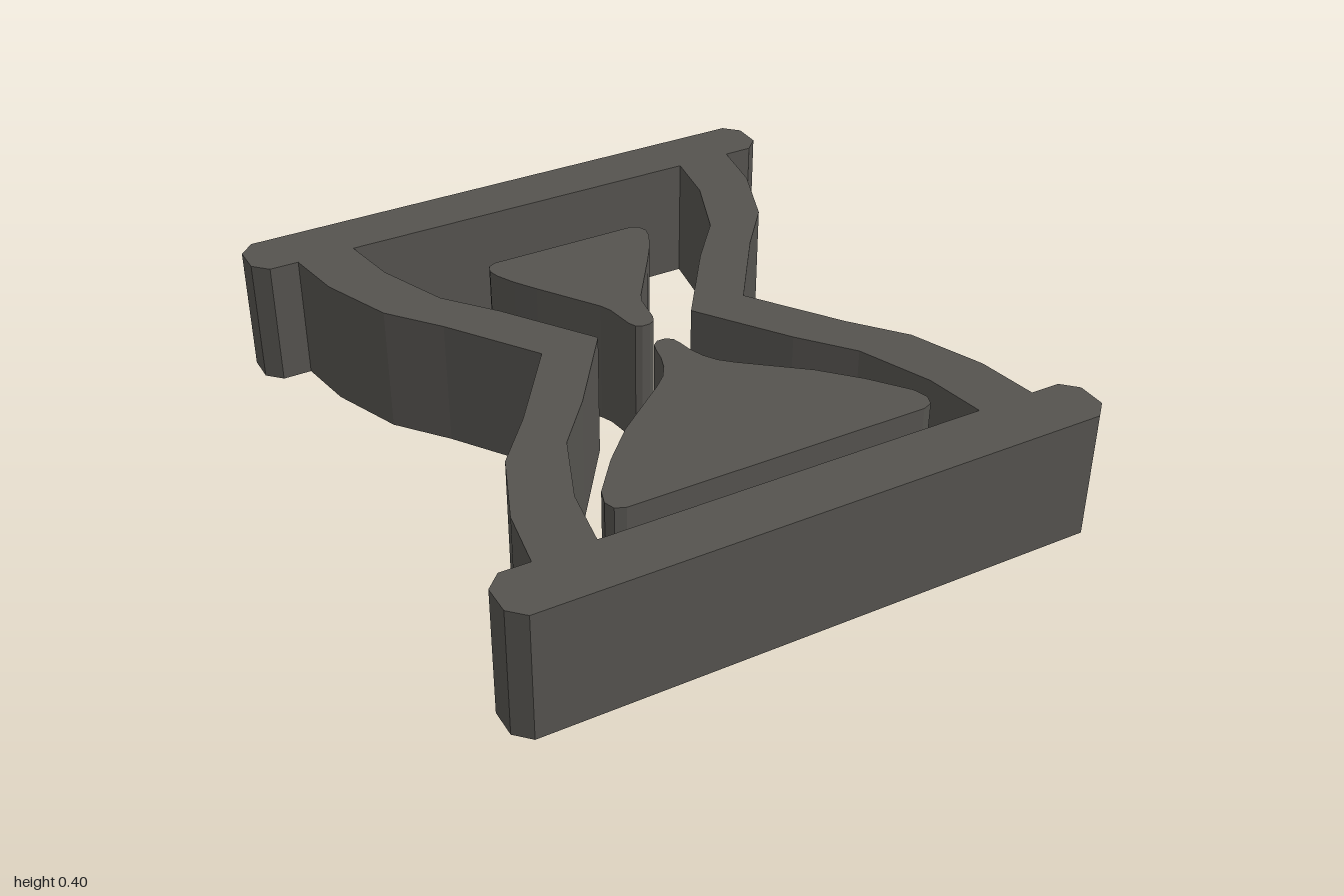
import * as THREE from 'three';

const HEIGHT = 0.4;
const LEG_WIDTH = 0.18;
const material = new THREE.MeshStandardMaterial({ color: 0x55534f, side: THREE.DoubleSide });

// Mirrors a half outline of [x, z] points (x > 0) across x = 0
const mirrorX = (half) => [...half, ...half.slice().reverse().map(([x, z]) => [-x, z])];

// Adds the reflection across z = 0 to a run that goes from the back to the middle
const mirrorZ = (run) => [
  ...run,
  ...run.slice().reverse().filter(([, z]) => z !== 0).map(([x, z]) => [x, -z]),
];

const toPoints = (outline) => outline.map(([x, z]) => new THREE.Vector2(x, -z));

// Extrudes a plan outline upward into a shell with a closed top and an open underside
function shell(name, outline, hole) {
  const shape = new THREE.Shape(toPoints(outline));
  // The hole runs against the outline so that its walls face into the opening
  if (hole) shape.holes.push(new THREE.Path(toPoints(hole).reverse()));
  const solid = new THREE.ExtrudeGeometry(shape, { depth: HEIGHT, bevelEnabled: false });
  solid.rotateX(-Math.PI / 2);

  // The lower lid is the first half of the lid group: leave it out
  const start = solid.groups[0].count / 2;
  const geometry = new THREE.BufferGeometry();
  for (const key of ['position', 'normal']) {
    const { array, itemSize } = solid.getAttribute(key);
    geometry.setAttribute(key, new THREE.BufferAttribute(array.slice(start * itemSize), itemSize));
  }
  const mesh = new THREE.Mesh(geometry, material);
  mesh.name = name;
  return mesh;
}

export function createModel() {
  const group = new THREE.Group();
  group.name = 'hourglass';

  // Frame: chamfered end bars joined by two pinched side walls of even width
  const leg = [[0.763, -0.823], [0.733, -0.64], [0.645, -0.42], [0.52, -0.267], [0.334, 0]];
  const bar = [[0.853, -1], [0.898, -0.955], [0.898, -0.868], [0.853, -0.823]];
  const outer = mirrorX(mirrorZ([...bar, ...leg]));
  const inner = mirrorX(mirrorZ(leg.map(([x, z]) => [x - LEG_WIDTH, z])));
  group.add(shell('frame', outer, inner));

  // Sand in the upper bulb, narrowing to a drip
  group.add(shell('upperSand', mirrorX([
    [0.235, -0.53], [0.26, -0.518], [0.27, -0.49], [0.262, -0.455], [0.233, -0.397],
    [0.19, -0.33], [0.068, -0.15], [0.053, -0.115], [0.04, -0.025], [0.03, -0.003],
    [0.012, 0.007],
  ])));

  // Sand pile in the lower bulb, rising to a rounded peak
  group.add(shell('lowerSand', mirrorX([
    [0.014, 0.097], [0.032, 0.112], [0.04, 0.14], [0.047, 0.18], [0.063, 0.225],
    [0.088, 0.265], [0.125, 0.3], [0.3, 0.44], [0.4, 0.545], [0.485, 0.655],
    [0.499, 0.7], [0.488, 0.732], [0.458, 0.744],
  ])));

  return group;
}
